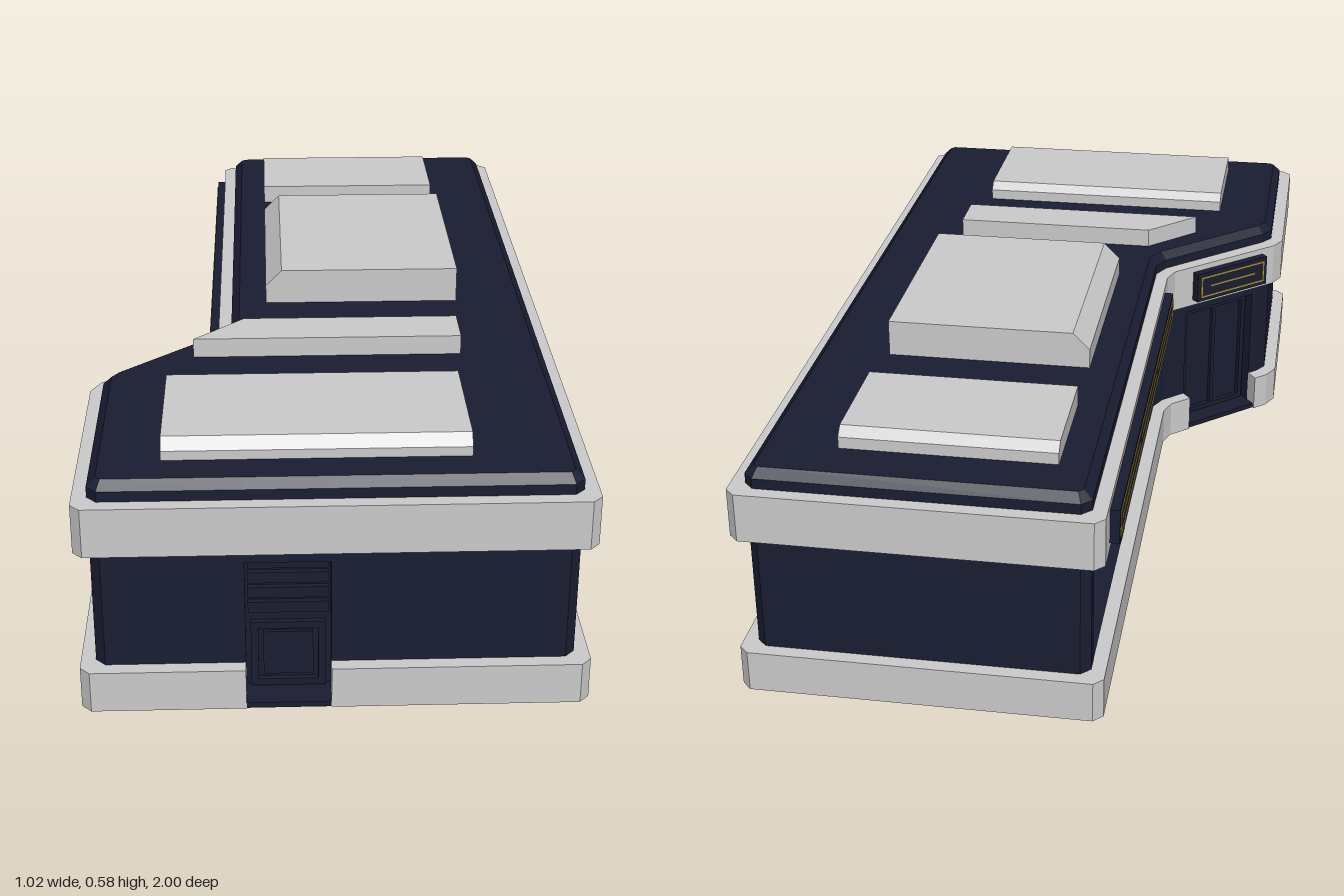
import * as THREE from 'three';

const grey = new THREE.MeshStandardMaterial({ color: 0xcccccc, flatShading: true });
const navy = new THREE.MeshStandardMaterial({ color: 0x1a1d32, flatShading: true });
const yellow = new THREE.MeshStandardMaterial({ color: 0xb89a3a, flatShading: true });

// Plan points are [x, z]. Side A runs from the front door round to the corner door, side B the rest.
const outerA = [[-0.01, 1], [0.49, 1], [0.51, 0.98], [0.51, -0.98], [0.49, -1], [-0.22, -1],
  [-0.24, -0.98], [-0.24, 0.19], [-0.255, 0.23], [-0.3, 0.27]];
const outerB = [[-0.46, 0.413], [-0.49, 0.44], [-0.51, 0.48], [-0.51, 0.98], [-0.49, 1], [-0.18, 1]];
const innerA = [[-0.01, 0.97], [0.46, 0.97], [0.48, 0.95], [0.48, -0.95], [0.46, -0.97], [-0.19, -0.97],
  [-0.21, -0.95], [-0.21, 0.21], [-0.23, 0.25], [-0.28, 0.296]];
const innerB = [[-0.44, 0.442], [-0.46, 0.46], [-0.48, 0.49], [-0.48, 0.95], [-0.46, 0.97], [-0.18, 0.97]];
const cornerRecess = [[-0.26, 0.318], [-0.42, 0.464]];
const frontRecess = [[-0.18, 0.93], [-0.01, 0.93]];
const windowRecesses = [[-0.21, -0.92], [-0.11, -0.92], [-0.11, -0.46], [-0.21, -0.46],
  [-0.21, -0.4], [-0.11, -0.4], [-0.11, 0.13], [-0.21, 0.13]];

const toVectors = (pts) => pts.map(([x, z]) => new THREE.Vector2(x, -z));

function add(parent, name, geometry, material) {
  const mesh = new THREE.Mesh(geometry, material);
  mesh.name = name;
  parent.add(mesh);
  return mesh;
}

// Raises a plan outline from y0 to y1, optionally with a hole or chamfered rims
function raise(pts, y0, y1, { hole, bevel = 0 } = {}) {
  const shape = new THREE.Shape(toVectors(pts));
  if (hole) shape.holes.push(new THREE.Path(toVectors(hole)));
  const g = new THREE.ExtrudeGeometry(shape, {
    depth: y1 - y0 - 2 * bevel, bevelEnabled: bevel > 0, bevelSegments: 1,
    bevelSize: bevel, bevelThickness: bevel, bevelOffset: -bevel,
  });
  return g.rotateX(-Math.PI / 2).translate(0, y0 + bevel, 0);
}

// Extrudes a [z, y] profile from x0 to x1
function alongX(profile, x0, x1) {
  const shape = new THREE.Shape(profile.map(([z, y]) => new THREE.Vector2(z, y)));
  return new THREE.ExtrudeGeometry(shape, { depth: x1 - x0, bevelEnabled: false })
    .rotateY(-Math.PI / 2).translate(x1, 0, 0);
}

function box(parent, name, w, h, d, x, y, z, material) {
  add(parent, name, new THREE.BoxGeometry(w, h, d), material).position.set(x, y, z);
}

// Rectangular outline of thin bars, facing local +z
function frame(parent, name, w, h, bar, depth, y, z, material) {
  for (const s of [-1, 1]) {
    box(parent, name, w, bar, depth, 0, y + s * (h - bar) / 2, z, material);
    box(parent, name, bar, h, depth, s * (w - bar) / 2, y, z, material);
  }
}

function facing(parent, name, x, z, angle) {
  const g = new THREE.Group();
  g.name = name;
  g.position.set(x, 0, z);
  g.rotation.y = angle;
  parent.add(g);
  return g;
}

// Dark sign panel with a yellow border and centre rails
function sign(parent, name, x, z, angle, w, sections) {
  const g = facing(parent, name, x, z, angle);
  box(g, 'signPanel', w, 0.075, 0.022, 0, 0.408, 0.009, navy);
  frame(g, 'signBorder', w - 0.02, 0.055, 0.004, 0.004, 0.408, 0.02, yellow);
  const step = (w - 0.05) / sections;
  for (let i = 0; i < sections; i++) {
    box(g, 'signRail', step - 0.03, 0.004, 0.004, (i - (sections - 1) / 2) * step, 0.408, 0.02, yellow);
  }
}

export function createModel() {
  const model = new THREE.Group();
  model.name = 'building';
  const outer = [...outerA, ...outerB];
  const inner = [...innerA, ...innerB];

  // Walls in storeys, cut back at the doors and shop windows
  const doorPlan = [...innerA, ...cornerRecess, ...innerB, ...frontRecess];
  const wallPlan = [...innerA.slice(0, 7), ...windowRecesses, ...innerA.slice(7),
    ...cornerRecess, ...innerB, ...frontRecess];
  add(model, 'floor', raise(inner, 0.003, 0.012), navy);
  add(model, 'wallBase', raise(doorPlan, 0.004, 0.09), navy);
  add(model, 'walls', raise(wallPlan, 0.09, 0.32), navy);
  add(model, 'upperWalls', raise(inner, 0.32, 0.44), navy);
  add(model, 'roof', raise(inner, 0.42, 0.5, { bevel: 0.018 }), navy);

  // Bands round the building; the lower one stops at the doors
  add(model, 'upperBand', raise(outer, 0.355, 0.46, { hole: inner }), grey);
  add(model, 'lowerBandA', raise([...outerA, ...[...innerA].reverse()], 0, 0.09), grey);
  add(model, 'lowerBandB', raise([...outerB, ...[...innerB].reverse()], 0, 0.09), grey);

  // Front door: shutter slats above a framed leaf
  const front = facing(model, 'frontDoor', -0.095, 0.93, 0);
  box(front, 'threshold', 0.17, 0.012, 0.068, 0, 0.006, 0.034, navy);
  for (let i = 0; i < 4; i++) {
    box(front, 'slat', 0.16, 0.024, 0.012, 0, 0.2 + i * 0.034, 0.006, navy);
  }
  frame(front, 'doorFrame', 0.15, 0.15, 0.015, 0.012, 0.09, 0.006, navy);
  box(front, 'doorLeaf', 0.1, 0.1, 0.008, 0, 0.09, 0.004, navy);

  // Corner door on the slanted wall
  const slant = Math.atan2(-0.67, -0.745);
  const corner = facing(model, 'cornerDoor', -0.34, 0.391, slant);
  box(corner, 'threshold', 0.212, 0.012, 0.058, 0, 0.006, 0.029, navy);
  frame(corner, 'doorFrame', 0.2, 0.3, 0.012, 0.012, 0.165, 0.006, navy);
  box(corner, 'doorDivider', 0.01, 0.28, 0.01, 0, 0.165, 0.005, navy);

  // Shop window frames in the side recesses
  for (const [z, w] of [[-0.69, 0.46], [-0.135, 0.53]]) {
    const shop = facing(model, 'shopWindow', -0.11, z, -Math.PI / 2);
    frame(shop, 'windowFrame', w, 0.23, 0.012, 0.012, 0.205, 0.006, navy);
  }

  // Signs on the upper band
  sign(model, 'sideSign', -0.24, -0.395, -Math.PI / 2, 1.05, 3);
  sign(model, 'cornerSign', -0.38, 0.341, slant, 0.22, 1);

  // Roof units
  add(model, 'frontRoofUnit', alongX([[0.56, 0.49], [0.88, 0.49], [0.88, 0.52], [0.86, 0.543],
    [0.58, 0.543], [0.56, 0.525]], -0.34, 0.27), grey);
  add(model, 'narrowRoofUnit', raise([[-0.29, 0.4], [0.295, 0.4], [0.295, 0.29], [-0.18, 0.29]],
    0.49, 0.543), grey);
  add(model, 'backRoofUnit', alongX([[-0.855, 0.49], [-0.595, 0.49], [-0.595, 0.543],
    [-0.835, 0.543], [-0.855, 0.525]], -0.13, 0.315), grey);
  const large = new THREE.Shape([[-0.13, 0.49], [0.315, 0.49], [0.315, 0.58], [-0.093, 0.58],
    [-0.13, 0.543]].map(([x, y]) => new THREE.Vector2(x, y)));
  add(model, 'largeRoofUnit', new THREE.ExtrudeGeometry(large, { depth: 0.52, bevelEnabled: false })
    .translate(0, 0, -0.42), grey);

  return model;
}
